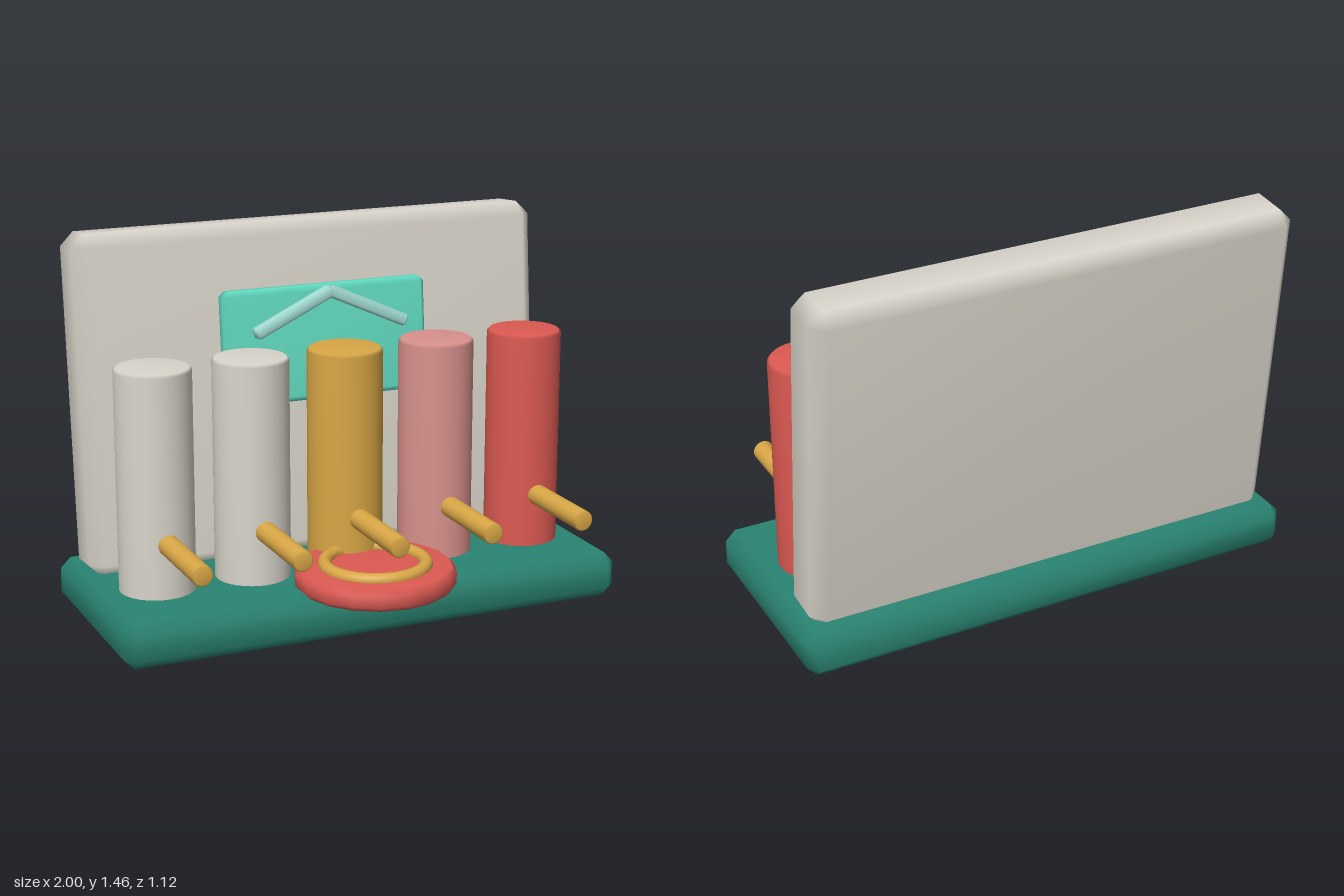
import * as THREE from 'three';
import { mergeVertices } from 'three/addons/utils/BufferGeometryUtils.js';
import { ConvexGeometry } from 'three/addons/geometries/ConvexGeometry.js';

const mat = (name, color) => {
  const m = new THREE.MeshStandardMaterial({ color });
  m.name = name;
  return m;
};

// Share vertices so the normals blend softly across the bevels
function smooth(geometry) {
  geometry.deleteAttribute('normal');
  geometry.deleteAttribute('uv');
  const merged = mergeVertices(geometry, 1e-4);
  merged.computeVertexNormals();
  return merged;
}

// Box with single-step bevels on all edges
function bevelBox(w, h, d, b) {
  const points = [];
  for (const x of [-1, 1]) for (const y of [-1, 1]) for (const z of [-1, 1]) {
    for (let axis = 0; axis < 3; axis++) {
      const inset = [b, b, b];
      inset[axis] = 0;
      points.push(new THREE.Vector3(
        x * (w / 2 - inset[0]), y * (h / 2 - inset[1]), z * (d / 2 - inset[2])));
    }
  }
  return smooth(new ConvexGeometry(points));
}

// Upright cylinder with bevelled rims
function bevelCylinder(r, h, b, sides) {
  const profile = [[0, -h / 2], [r - b, -h / 2], [r, -h / 2 + b],
    [r, h / 2 - b], [r - b, h / 2], [0, h / 2]];
  return smooth(new THREE.LatheGeometry(profile.map(p => new THREE.Vector2(...p)), sides));
}

export function createModel() {
  const model = new THREE.Group();
  model.name = 'pegStand';

  const green = mat('deep green', 0x2a8473);
  const mint = mat('mint', 0x62dcc2);
  const paleMint = mat('pale mint', 0xa2dcd4);
  const cream = mat('warm grey', 0xd9d5cb);
  const gold = mat('gold', 0xd9a746);
  const pink = mat('pink', 0xd9928d);
  const red = mat('red', 0xdd5a52);

  const add = (name, geometry, material, x, y, z) => {
    const mesh = new THREE.Mesh(geometry, material);
    mesh.name = name;
    mesh.position.set(x, y, z);
    model.add(mesh);
    return mesh;
  };
  const lean = -THREE.MathUtils.degToRad(5);

  // Base and the leaning panels
  add('base', bevelBox(2, 0.175, 0.86, 0.04), green, 0, 0.0875, -0.095);
  add('backPanel', bevelBox(1.9, 1.305, 0.24, 0.052), cream, 0, 0.8, -0.385).rotation.x = lean;
  add('plaque', bevelBox(0.83, 0.44, 0.08, 0.02), mint, 0, 1.003, -0.223).rotation.x = lean;

  // Chevron of two bars on the plaque
  const chevron = new THREE.Group();
  chevron.name = 'chevron';
  chevron.position.set(0, 1.139, -0.162);
  chevron.rotation.x = lean;
  const barGeometry = bevelBox(0.35, 0.047, 0.047, 0.01);
  for (const side of [-1, 1]) {
    const bar = new THREE.Mesh(barGeometry, paleMint);
    bar.name = side > 0 ? 'leftBar' : 'rightBar';
    bar.position.x = side * 0.152;
    bar.rotation.z = -side * THREE.MathUtils.degToRad(24.5);
    chevron.add(bar);
  }
  model.add(chevron);

  // Row of columns, each with a peg pointing forward
  const columnGeometry = bevelCylinder(0.144, 0.87, 0.01, 32);
  const pegGeometry = bevelCylinder(0.04, 0.4, 0.006, 20);
  [cream, cream, gold, pink, red].forEach((material, i) => {
    const x = (i - 2) * 0.38;
    add('column' + (i + 1), columnGeometry, material, x, 0.585, -0.027);
    add('peg' + (i + 1), pegGeometry, gold, x, 0.383, 0.277).rotation.x = Math.PI / 2;
  });

  // Round dish with a ring on top
  add('dish', bevelCylinder(0.305, 0.083, 0.02, 18), red, 0, 0.2085, 0.255);
  add('ring', new THREE.TorusGeometry(0.19, 0.026, 10, 32), gold, 0, 0.254, 0.255)
    .rotation.x = Math.PI / 2;

  return model;
}
